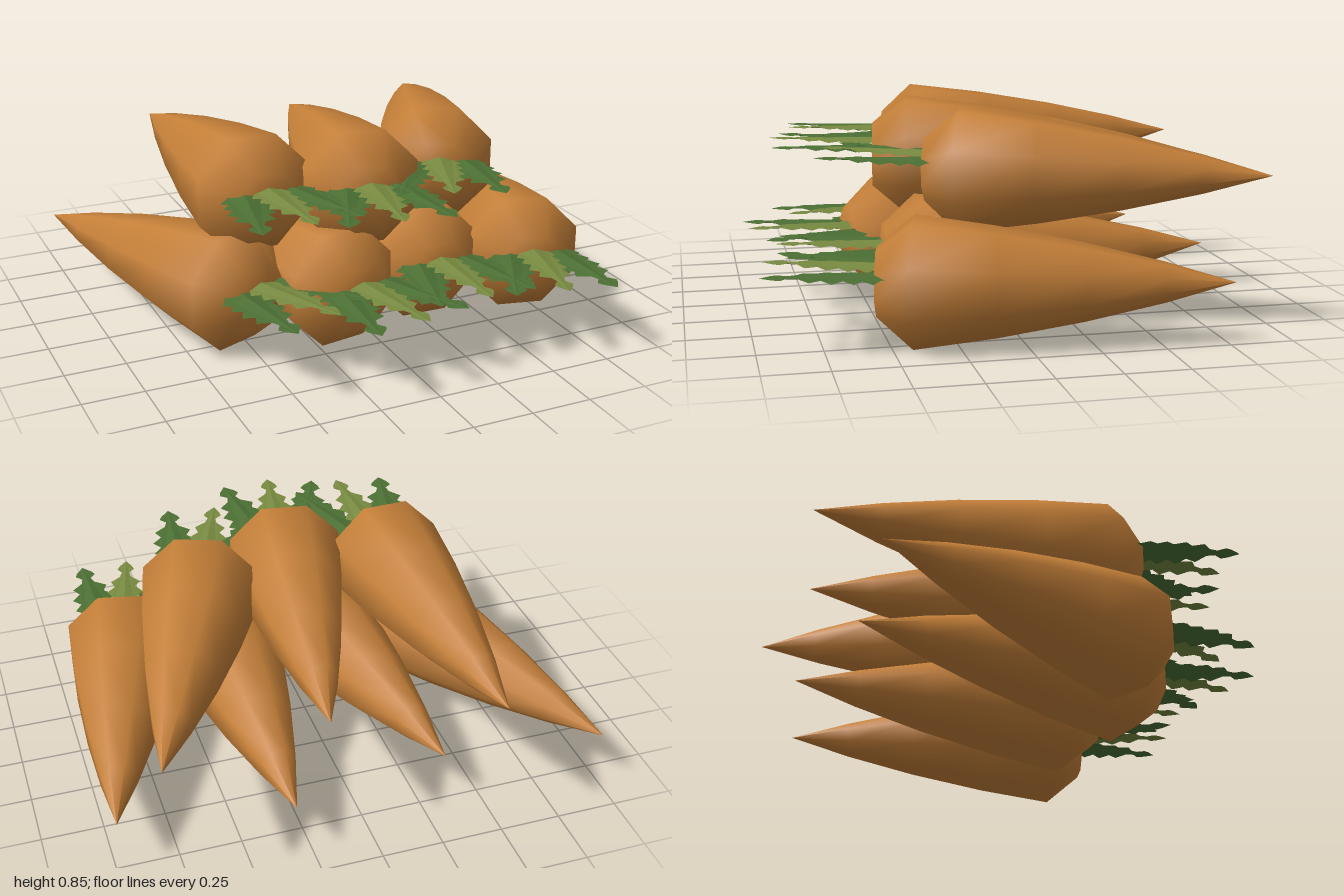
import * as THREE from 'three';
import { mergeGeometries } from 'three/addons/utils/BufferGeometryUtils.js';

const orange = new THREE.MeshStandardMaterial({ color: 0xc47f38 });
orange.name = 'carrotOrange';
const darkGreen = new THREE.MeshStandardMaterial({ color: 0x4c7034, side: THREE.DoubleSide });
darkGreen.name = 'darkLeaf';
const lightGreen = new THREE.MeshStandardMaterial({ color: 0x778a40, side: THREE.DoubleSide });
lightGreen.name = 'lightLeaf';

// Eight-sided root, blunt head at z = 0, tip towards -z
function rootGeometry() {
  const profile = [[0, 0], [0.135, 0], [0.257, 0.14], [0.213, 0.45], [0.15, 0.78], [0.078, 1.08], [0, 1.345]];
  const points = profile.map(([r, h]) => new THREE.Vector2(r, h));
  return new THREE.LatheGeometry(points, 8, Math.PI / 8).rotateX(-Math.PI / 2);
}

// Half outline of a toothed leaf blade: [half width, distance along]
const outline = [
  [0.06, -0.03], [0.07, 0], [0.1, 0.03], [0.07, 0.065], [0.098, 0.1], [0.066, 0.135], [0.095, 0.18],
  [0.056, 0.215], [0.078, 0.26], [0.03, 0.295], [0.02, 0.33], [0.045, 0.36], [0.035, 0.385],
];

// Blade made of two halves that slope down from the midrib near the root
function bladeGeometry(widthScale) {
  const halves = [1, -1].map((side) => {
    const shape = new THREE.Shape();
    shape.moveTo(0, 0.03);
    for (const [w, along] of outline) shape.lineTo(side * w * widthScale, -along);
    shape.lineTo(0, -0.43);
    const geometry = new THREE.ShapeGeometry(shape).rotateX(-Math.PI / 2);
    const p = geometry.attributes.position;
    for (let i = 0; i < p.count; i++) {
      p.setY(i, -Math.abs(p.getX(i)) * 0.25 * (1 - p.getZ(i) / 0.45));
    }
    geometry.computeVertexNormals();
    return geometry;
  });
  return mergeGeometries(halves);
}

function addMesh(parent, name, geometry, material) {
  const mesh = new THREE.Mesh(geometry, material);
  mesh.name = name;
  parent.add(mesh);
  return mesh;
}

export function createModel() {
  const model = new THREE.Group();
  model.name = 'carrotPile';
  const root = rootGeometry();
  const sideBlade = bladeGeometry(1);
  const middleBlade = bladeGeometry(0.85);

  // Each carrot: head x, head z, tip x, tip z
  const layers = [
    { name: 'lowerCarrot', y: 0.2375, carrots: [
      [-0.48, 0.39, -1.0, -0.85], [-0.11, 0.55, -0.34, -0.77],
      [0.29, 0.455, 0.315, -0.89], [0.68, 0.54, 0.985, -0.77]] },
    { name: 'upperCarrot', y: 0.608, carrots: [
      [-0.42, 0.34, -0.48, -1.0], [-0.03, 0.45, 0.18, -0.88], [0.36, 0.29, 0.835, -0.965]] },
  ];

  for (const { name, y, carrots } of layers) {
    carrots.forEach(([hx, hz, tx, tz], i) => {
      const carrot = new THREE.Group();
      carrot.name = name + (i + 1);
      carrot.position.set(hx, y, hz);
      carrot.rotation.y = Math.atan2(hx - tx, hz - tz);
      addMesh(carrot, 'root', root, orange);

      // Light middle blade over two dark, splayed side blades
      addMesh(carrot, 'middleLeaf', middleBlade, lightGreen).position.y = 0.072;
      for (const side of [1, -1]) {
        const leaf = addMesh(carrot, side > 0 ? 'leftLeaf' : 'rightLeaf', sideBlade, darkGreen);
        leaf.position.set(side * 0.1, 0.06, -0.01);
        leaf.rotation.y = side * 0.25;
      }
      model.add(carrot);
    });
  }
  return model;
}
